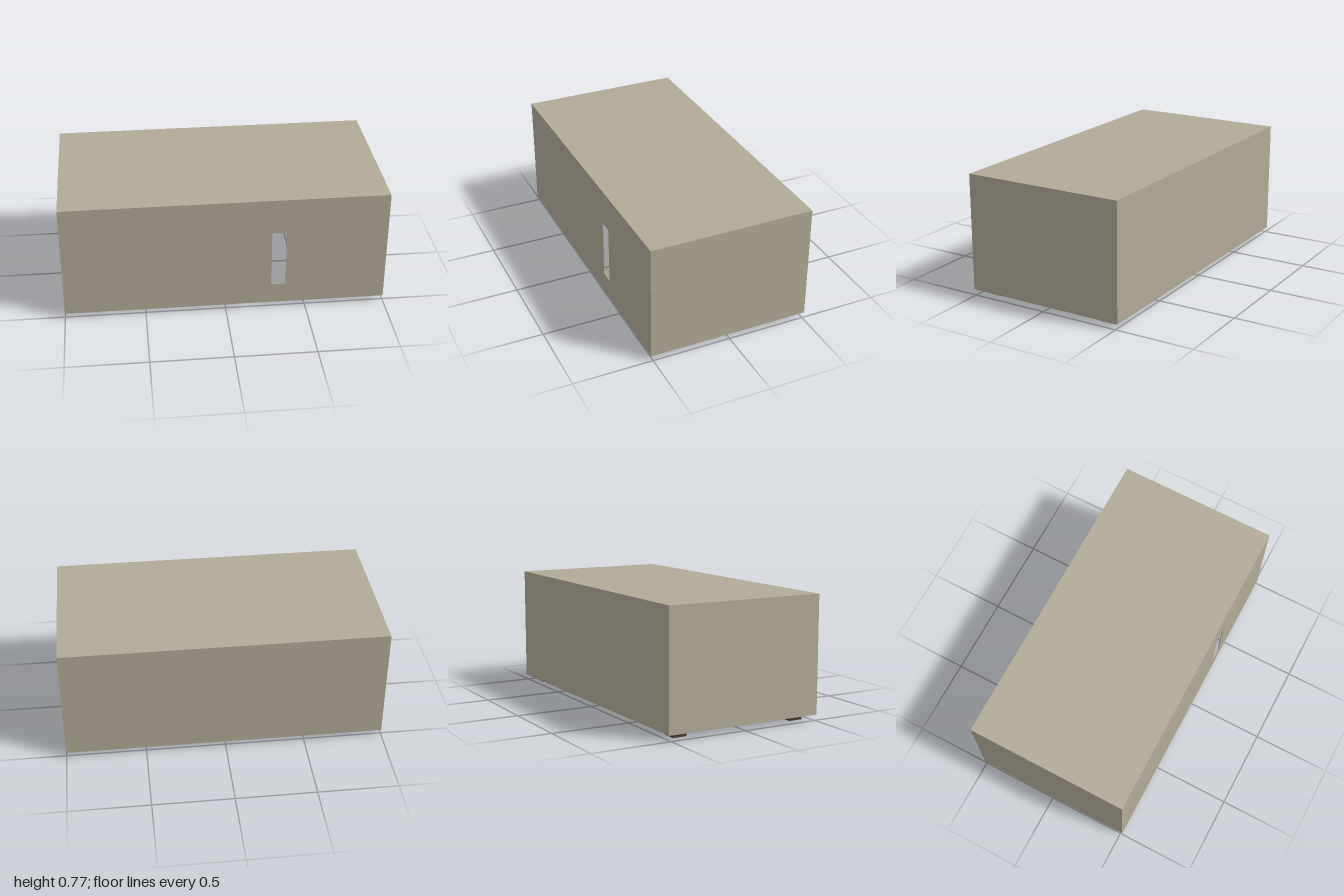
import * as THREE from 'three';

const W = 2, D = 1.026, TOP = 0.767, HEM = 0.035, T = 0.006;

export function createModel() {
  const model = new THREE.Group();
  const cloth = new THREE.MeshStandardMaterial({ color: 0xb2aa97 });
  const wood = new THREE.MeshStandardMaterial({ color: 0x4a362b });

  const add = (name, geometry, material, x, y, z) => {
    const mesh = new THREE.Mesh(geometry, material);
    mesh.name = name;
    mesh.position.set(x, y, z);
    model.add(mesh);
  };
  const box = (name, w, h, d, material, x, y, z) =>
    add(name, new THREE.BoxGeometry(w, h, d), material, x, y, z);

  // Cloth cover, open below: top, back and two sides
  const drop = TOP - T - HEM, midY = HEM + drop / 2;
  box('clothTop', W, T, D, cloth, 0, TOP - T / 2, 0);
  box('clothBack', W, drop, T, cloth, 0, midY, -(D - T) / 2);
  for (const s of [-1, 1]) {
    box(s > 0 ? 'clothLeft' : 'clothRight', T, drop, D - 2 * T, cloth, s * (W - T) / 2, midY, 0);
  }

  // Front of the cloth with its upright slot
  const rect = (path, x0, y0, x1, y1) =>
    path.moveTo(x0, y0).lineTo(x1, y0).lineTo(x1, y1).lineTo(x0, y1).closePath();
  const front = rect(new THREE.Shape(), -W / 2, HEM, W / 2, TOP - T);
  front.holes.push(rect(new THREE.Path(), 0.283, 0.168, 0.374, 0.54));
  add('clothFront', new THREE.ExtrudeGeometry(front, { depth: T, bevelEnabled: false }),
    cloth, 0, 0, D / 2 - T);

  // Table hidden under the cloth
  const UNDER = 0.705, LEG = 0.088, LX = 0.891, LZ = 0.405;
  const RAIL = 0.135, RT = 0.04;
  box('tableTop', 1.96, 0.05, 0.99, wood, 0, UNDER + 0.025, 0);
  for (const s of [-1, 1]) {
    for (const t of [-1, 1]) {
      box('leg', LEG, UNDER, LEG, wood, s * LX, UNDER / 2, t * LZ);
    }
    box('longRail', 2 * LX - LEG, RAIL, RT, wood, 0, UNDER - RAIL / 2, s * LZ);
    box('shortRail', RT, RAIL, 2 * LZ - LEG, wood, s * LX, UNDER - RAIL / 2, 0);
  }
  return model;
}
